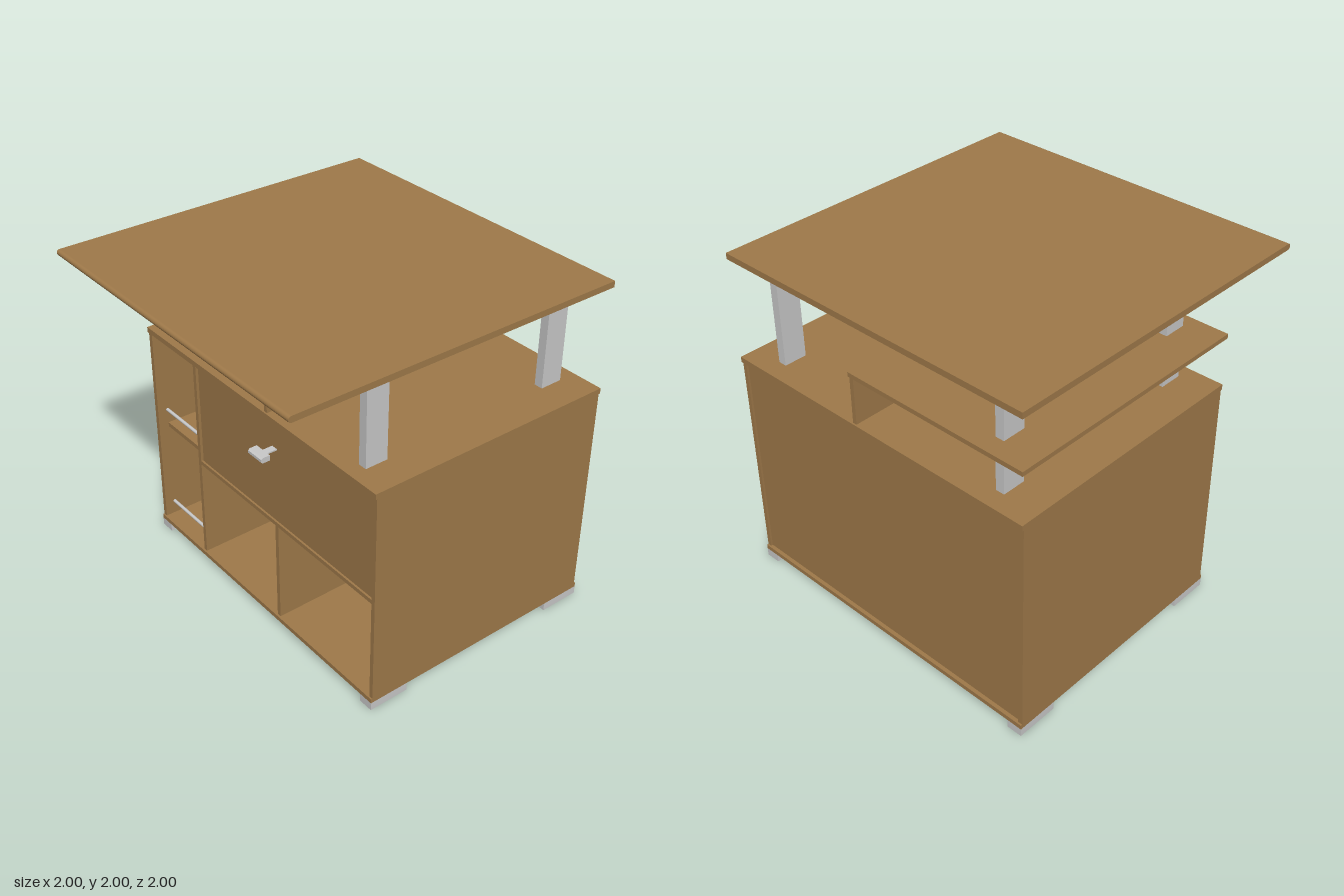
import * as THREE from 'three';

export function createModel() {
  const model = new THREE.Group();
  model.name = 'cabinetTable';

  const wood = new THREE.MeshStandardMaterial({ color: 0xa07a4a });
  wood.name = 'wood';
  const metal = new THREE.MeshStandardMaterial({ color: 0xcacaca });
  metal.name = 'metal';

  const add = (name, geometry, material) => {
    const mesh = new THREE.Mesh(geometry, material);
    mesh.name = name;
    model.add(mesh);
    return mesh;
  };

  // Box given by its limits on each axis
  const box = (name, [x0, x1], [y0, y1], [z0, z1], material = wood) => {
    const mesh = add(name, new THREE.BoxGeometry(x1 - x0, y1 - y0, z1 - z0), material);
    mesh.position.set((x0 + x1) / 2, (y0 + y1) / 2, (z0 + z1) / 2);
    return mesh;
  };

  // Cabinet carcass
  const slab = [-0.997, 0.512];
  const panel = [-0.987, 0.503];
  box('basePanel', [-1, 1], [0.048, 0.075], slab);
  box('cabinetTop', [-1, 1], [1.348, 1.38], slab);
  box('rightSide', [-1, -0.972], [0.075, 1.348], panel);
  box('leftSide', [0.975, 1], [0.075, 1.348], panel);
  box('backPanel', [-0.972, 0.975], [0.075, 1.348], [-0.975, -0.955]);

  // Inner dividers and shelves
  const inside = [-0.955, 0.5];
  box('tallDivider', [-0.56, -0.535], [0.075, 1.348], inside);
  box('middleShelf', [-0.535, 0.975], [0.695, 0.72], inside);
  box('lowDivider', [0.172, 0.198], [0.075, 0.695], inside);
  box('bottleShelf', [-0.972, -0.56], [0.703, 0.73], [-0.955, 0.44]);

  // Flap door with its handle
  box('flapDoor', [-0.525, 0.963], [0.722, 1.344], [0.465, 0.49]);
  box('handleStem', [0.15, 0.19], [1.18, 1.188], [0.49, 0.565], metal);
  const grip = new THREE.Shape([
    [0.56, 1.168], [0.604, 1.168], [0.614, 1.176],
    [0.614, 1.192], [0.604, 1.2], [0.56, 1.2],
  ].map(([z, y]) => new THREE.Vector2(-z, y)));
  const gripGeometry = new THREE.ExtrudeGeometry(grip, { depth: 0.114, bevelEnabled: false });
  gripGeometry.rotateY(Math.PI / 2).translate(0.113, 0, 0);
  add('handleGrip', gripGeometry, metal);

  // Retaining rails of the bottle compartment
  for (const y of [0.82, 0.16]) {
    const rail = add('bottleRail', new THREE.CylinderGeometry(0.01, 0.01, 0.412, 16), metal);
    rail.rotation.z = Math.PI / 2;
    rail.position.set(-0.766, y, 0.44);
  }

  // Raised open shelf
  box('raisedShelf', [-1, 0.13], [1.658, 1.684], slab);
  box('raisedShelfSupport', [0.105, 0.13], [1.38, 1.658], panel);

  // Feet and table posts
  for (const [x0, x1] of [[-1, -0.91], [0.91, 1]]) {
    box('frontFoot', [x0, x1], [0, 0.048], [0.27, 0.512], metal);
    box('backFoot', [x0, x1], [0, 0.048], [-0.997, -0.75], metal);
  }
  for (const [x0, x1] of [[-0.79, -0.738], [0.763, 0.814]]) {
    box('frontPost', [x0, x1], [1.38, 1.965], [0.287, 0.42], metal);
    box('backPost', [x0, x1], [1.38, 1.965], [-0.89, -0.755], metal);
  }

  // Table top with a rounded front edge
  const r = 0.0175;
  const top = new THREE.Shape();
  top.moveTo(1, 2 - 2 * r);
  top.lineTo(1, 2);
  top.lineTo(-1 + r, 2);
  top.absarc(-1 + r, 2 - r, r, Math.PI / 2, Math.PI * 1.5, false);
  top.closePath();
  const topGeometry = new THREE.ExtrudeGeometry(top, { depth: 2, bevelEnabled: false, curveSegments: 12 });
  topGeometry.rotateY(Math.PI / 2).translate(-1, 0, 0);
  add('tableTop', topGeometry, wood);

  return model;
}
